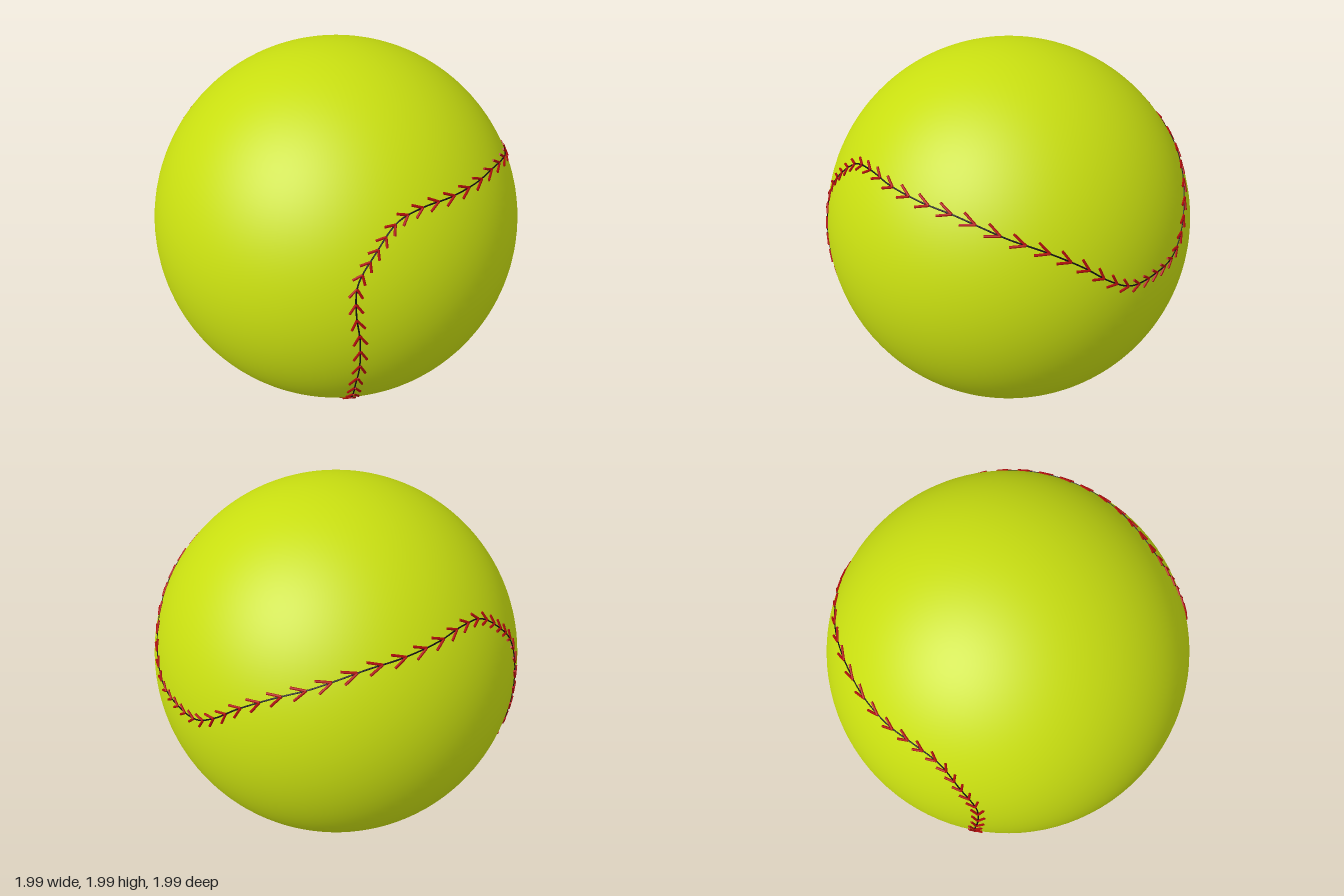
import * as THREE from 'three';
import { mergeGeometries } from 'three/addons/utils/BufferGeometryUtils.js';

const R = 0.993; // ball radius
const STITCHES = 84;

const material = (name, color) => {
  const m = new THREE.MeshStandardMaterial({ color });
  m.name = name;
  return m;
};

// Closed seam: one eighth is given, the rest follows by symmetry.
// u points up and forward, v points up and backward.
function seamCurve() {
  const eighth = [[0.62, 0], [0.6, 0.17], [0.52, 0.29], [0.4, 0.4], [0.25, 0.53], [0.11, 0.64], [0, R * Math.SQRT1_2]]
    .map(([u, v]) => [Math.sqrt(R * R - u * u - v * v), v, u]);
  const quarter = [...eighth, ...eighth.slice(0, -1).reverse().map(([x, v, u]) => [v, x, -u])];
  const half = [...quarter, ...quarter.slice(0, -1).reverse().map(([x, v, u]) => [-x, v, u])].slice(0, -1);
  const full = [...half, ...half.map(([x, v, u]) => [-x, -v, u])];
  const points = full.map(([x, v, u]) =>
    new THREE.Vector3(x, (u + v) * Math.SQRT1_2, (u - v) * Math.SQRT1_2));
  return new THREE.CatmullRomCurve3(points, true);
}

// Round thread between two points
function thread(a, b, radius) {
  const dir = b.clone().sub(a);
  const g = new THREE.CylinderGeometry(radius, radius, dir.length(), 8);
  g.applyQuaternion(new THREE.Quaternion().setFromUnitVectors(new THREE.Vector3(0, 1, 0), dir.normalize()));
  const mid = a.clone().add(b).multiplyScalar(0.5);
  return g.translate(mid.x, mid.y, mid.z);
}

export function createModel() {
  const group = new THREE.Group();
  const add = (name, geometry, mat) => {
    const mesh = new THREE.Mesh(geometry, mat);
    mesh.name = name;
    mesh.position.set(0, R + 0.009, 0.004);
    group.add(mesh);
  };

  // Leather cover
  add('ballCover', new THREE.SphereGeometry(R, 96, 64), material('yellowGreen', 0xc8de10));

  // Thin seam line
  const curve = seamCurve();
  add('seam', new THREE.TubeGeometry(curve, 400, 0.004, 6, true), material('seamBlack', 0x101010));

  // V stitches, closer together on the four tight bends
  const arms = [];
  for (let i = 0; i < STITCHES; i++) {
    const f = i / STITCHES;
    const stretch = 1 - 0.3 * Math.cos(8 * Math.PI * f);
    const s = (f - 0.3 * Math.sin(8 * Math.PI * f) / (8 * Math.PI) + 1) % 1;
    const p = curve.getPointAt(s).setLength(R + 0.003);
    const tangent = curve.getTangentAt(s);
    const side = new THREE.Vector3().crossVectors(p, tangent).normalize();
    const apex = p.clone().addScaledVector(tangent, 0.025 * stretch).setLength(R + 0.003);
    for (const k of [-1, 1]) {
      const end = p.clone().addScaledVector(tangent, -0.03 * stretch)
        .addScaledVector(side, 0.032 * k).setLength(R + 0.003);
      arms.push(thread(apex, end, 0.0065));
    }
  }
  add('stitches', mergeGeometries(arms), material('threadRed', 0xb00c0c));

  return group;
}
